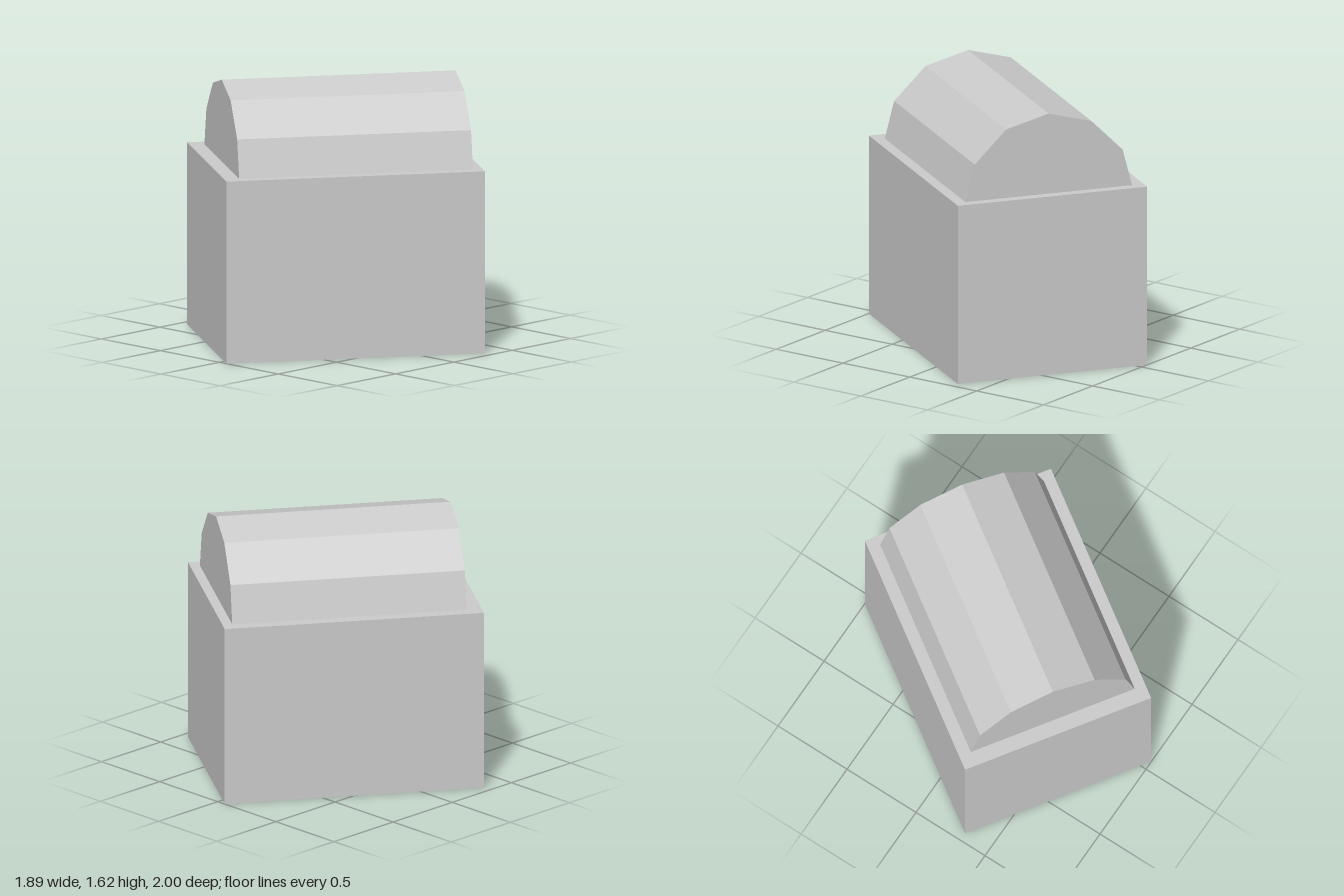
import * as THREE from 'three';

export function createModel() {
  const model = new THREE.Group();
  const material = new THREE.MeshStandardMaterial({ color: 0xcccccc, flatShading: true });
  const wallHeight = 1.12;

  // Whole building is turned about the vertical axis
  const building = new THREE.Group();
  building.name = 'building';
  building.rotation.y = -0.593;
  model.add(building);

  // Rectangular base block
  const base = new THREE.Mesh(new THREE.BoxGeometry(1.213, wallHeight, 1.59), material);
  base.name = 'base';
  base.position.y = wallHeight / 2;
  building.add(base);

  // Faceted barrel roof, mirrored half profile extruded along the length
  const half = [[0.534, 0], [0.474, 0.23], [0.273, 0.43]];
  const profile = [...half, [0, 0.503], ...half.map(([x, y]) => [-x, y]).reverse()];
  const shape = new THREE.Shape(profile.map(([x, y]) => new THREE.Vector2(x, y)));
  const roofLength = 1.438;
  const roofGeometry = new THREE.ExtrudeGeometry(shape, { depth: roofLength, bevelEnabled: false });
  roofGeometry.translate(0, 0, -roofLength / 2);
  const roof = new THREE.Mesh(roofGeometry, material);
  roof.name = 'barrelRoof';
  roof.position.set(0.003, wallHeight, -0.016);
  building.add(roof);

  return model;
}
